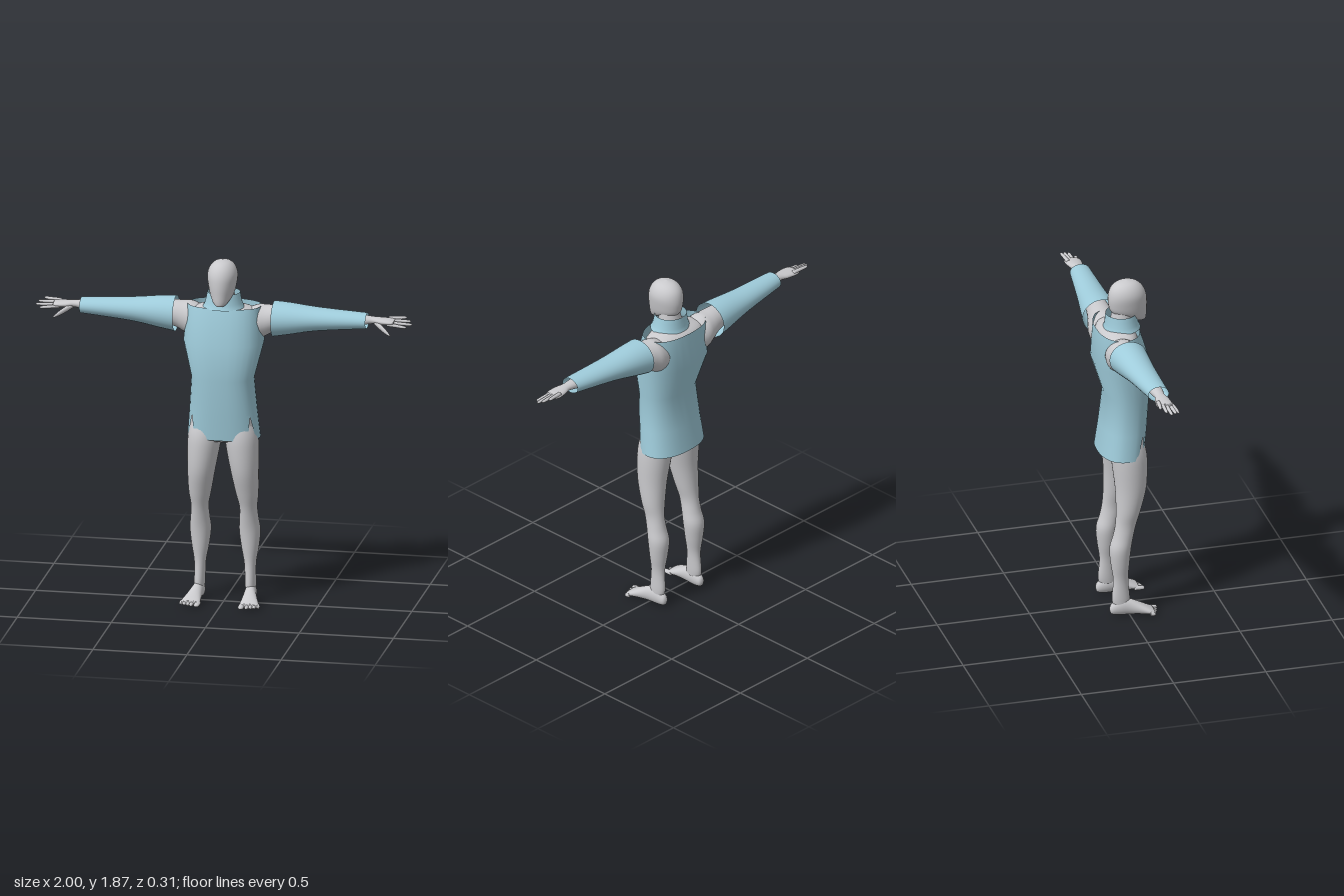
import * as THREE from 'three';

const skin = new THREE.MeshStandardMaterial({ color: 0xcacacd });
skin.name = 'pale grey skin';
const cloth = new THREE.MeshStandardMaterial({ color: 0x9fccdb, side: THREE.DoubleSide });
cloth.name = 'light blue cloth';

// Catmull-Rom subdivision of a list of rings
function refine(rings, steps) {
  const out = [];
  const at = (i) => rings[Math.max(0, Math.min(rings.length - 1, i))];
  for (let i = 0; i < rings.length - 1; i++) {
    const [p, q, r, s] = [at(i - 1), at(i), at(i + 1), at(i + 2)];
    for (let k = 0; k < steps; k++) {
      const t = k / steps;
      out.push(q.map((v, c) => v + 0.5 * t * (r[c] - p[c] +
        t * (2 * p[c] - 5 * v + 4 * r[c] - s[c] + t * (3 * (v - r[c]) + s[c] - p[c])))));
    }
  }
  out.push(rings[rings.length - 1]);
  return out;
}

// Skin through oval rings [t, a, b, ra, rb]; t runs along the axis and
// (t, a, b) are x,y,z / y,z,x / z,x,y. adjust() may move single points.
function loft(axis, rings, { n = 32, steps = 4, power = 1, cap = true, adjust } = {}) {
  const rows = steps > 1 ? refine(rings, steps) : rings;
  const base = 'xyz'.indexOf(axis);
  const pos = [], idx = [];
  const put = (t, a, b) => {
    const p = [0, 0, 0];
    p[base] = t;
    p[(base + 1) % 3] = a;
    p[(base + 2) % 3] = b;
    pos.push(...p);
  };
  const bend = (v) => Math.sign(v) * Math.abs(v) ** power;
  rows.forEach(([t, a, b, ra, rb], i) => {
    for (let j = 0; j < n; j++) {
      const th = (j / n) * Math.PI * 2;
      put(t, a + ra * bend(Math.cos(th)), b + rb * bend(Math.sin(th)));
      if (i > 0) {
        const k = (j + 1) % n, o = (i - 1) * n;
        idx.push(o + j, o + k, o + n + k, o + j, o + n + k, o + n + j);
      }
    }
  });
  if (cap) {
    const c = rows.length * n, last = c - n;
    put(...rows[0].slice(0, 3));
    put(...rows[rows.length - 1].slice(0, 3));
    for (let j = 0; j < n; j++) {
      const k = (j + 1) % n;
      idx.push(c, k, j, c + 1, last + j, last + k);
    }
  }
  if (adjust) adjust(pos, n, rows.length);
  const geo = new THREE.BufferGeometry();
  geo.setAttribute('position', new THREE.Float32BufferAttribute(pos, 3));
  geo.setIndex(idx);
  geo.computeVertexNormals();
  return geo;
}

function mirrored(geo) {
  const g = geo.clone().scale(-1, 1, 1);
  const a = g.index.array;
  for (let i = 0; i < a.length; i += 3) [a[i], a[i + 1]] = [a[i + 1], a[i]];
  g.computeVertexNormals();
  return g;
}

// Raise one hem point on each side of the front to open a slit
function cutSlits(pos, n, rows) {
  for (const j of [5, n - 5]) {
    const low = ((rows - 1) * n + j) * 3, up = ((rows - 2) * n + j) * 3;
    for (let c = 0; c < 3; c++) pos[low + c] += (pos[up + c] - pos[low + c]) * 0.95;
  }
}

export function createModel() {
  const model = new THREE.Group();
  model.name = 'figureInTunic';
  const add = (name, geo, mat = skin) => {
    const m = new THREE.Mesh(geo, mat);
    m.name = name;
    model.add(m);
  };
  const pair = (name, geo, mat) => {
    add('left' + name, geo, mat);
    add('right' + name, mirrored(geo), mat);
  };

  // Head and neck
  add('head', loft('y', [
    [1.632, 0.1, 0, 0.012, 0.01],
    [1.637, 0.098, 0, 0.028, 0.025],
    [1.655, 0.08, 0, 0.051, 0.042],
    [1.69, 0.04, 0, 0.093, 0.062],
    [1.74, 0.031, 0, 0.103, 0.074],
    [1.79, 0.028, 0, 0.1, 0.079],
    [1.83, 0.026, 0, 0.083, 0.067],
    [1.857, 0.026, 0, 0.05, 0.041],
    [1.868, 0.026, 0, 0.002, 0.002],
  ]));
  add('neck', loft('y', [
    [1.56, -0.015, 0, 0.07, 0.085],
    [1.62, -0.005, 0, 0.06, 0.065],
    [1.72, 0.01, 0, 0.058, 0.055],
  ]));

  // Torso under the tunic
  add('torso', loft('y', [
    [0.885, -0.005, 0, 0.08, 0.15],
    [0.92, -0.008, 0, 0.105, 0.176],
    [1.03, 0.002, 0, 0.106, 0.168],
    [1.23, 0.015, 0, 0.1, 0.145],
    [1.42, -0.01, 0, 0.125, 0.185],
    [1.53, -0.025, 0, 0.11, 0.185],
    [1.585, -0.03, 0, 0.09, 0.17],
    [1.615, -0.02, 0, 0.055, 0.09],
  ], { power: 0.88 }));

  // Arms
  pair('Arm', loft('x', [
    [0.1, 1.5, -0.04, 0.08, 0.08],
    [0.17, 1.515, -0.045, 0.095, 0.088],
    [0.22, 1.53, -0.045, 0.082, 0.078],
    [0.29, 1.545, -0.04, 0.066, 0.066],
    [0.5, 1.555, -0.025, 0.045, 0.045],
    [0.72, 1.567, -0.017, 0.028, 0.034],
    [0.79, 1.57, -0.016, 0.019, 0.027],
    [0.83, 1.568, -0.016, 0.018, 0.038],
    [0.88, 1.566, -0.018, 0.016, 0.044],
    [0.905, 1.566, -0.02, 0.011, 0.04],
  ]));

  // Fingers: base y, z then tip x, y, z
  [
    [1.558, 0.012, 0.975, 1.549, 0.02],
    [1.563, -0.008, 1.0, 1.558, -0.008],
    [1.57, -0.028, 0.99, 1.568, -0.033],
    [1.576, -0.047, 0.965, 1.58, -0.058],
  ].forEach(([y, z, tx, ty, tz], i) => {
    pair('Finger' + (i + 1), loft('x', [
      [0.87, y, z, 0.01, 0.011],
      [0.92, (y + ty) / 2, (z + tz) / 2, 0.009, 0.01],
      [tx - 0.01, ty, tz, 0.007, 0.008],
      [tx, ty, tz, 0.001, 0.001],
    ], { n: 10, steps: 3 }));
  });
  pair('Thumb', loft('x', [
    [0.8, 1.562, -0.005, 0.012, 0.015],
    [0.84, 1.543, 0.024, 0.016, 0.015],
    [0.88, 1.52, 0.05, 0.01, 0.01],
    [0.9, 1.508, 0.061, 0.001, 0.001],
  ], { n: 12, steps: 3 }));

  // Legs
  pair('Leg', loft('y', [
    [0.06, -0.04, 0.136, 0.045, 0.027],
    [0.1, -0.043, 0.135, 0.048, 0.029],
    [0.2, -0.043, 0.133, 0.04, 0.031],
    [0.29, -0.046, 0.132, 0.049, 0.046],
    [0.38, -0.045, 0.131, 0.057, 0.056],
    [0.45, -0.029, 0.13, 0.054, 0.05],
    [0.52, -0.014, 0.129, 0.056, 0.047],
    [0.6, 0.001, 0.125, 0.066, 0.06],
    [0.72, 0.016, 0.115, 0.083, 0.073],
    [0.85, 0.014, 0.103, 0.094, 0.086],
    [0.93, 0.008, 0.096, 0.094, 0.086],
    [1.0, 0, 0.09, 0.08, 0.07],
  ]));

  // Feet and toes
  pair('Foot', loft('z', [
    [-0.103, 0.136, 0.035, 0.004, 0.006],
    [-0.093, 0.136, 0.036, 0.02, 0.028],
    [-0.05, 0.137, 0.046, 0.03, 0.046],
    [0, 0.141, 0.044, 0.032, 0.044],
    [0.05, 0.148, 0.033, 0.04, 0.033],
    [0.1, 0.155, 0.02, 0.05, 0.02],
    [0.125, 0.156, 0.014, 0.047, 0.013],
  ]));
  for (let i = 0; i < 5; i++) {
    const x = i ? 0.126 + i * 0.019 : 0.116, r = i ? 0.01 : 0.015, tip = 0.157 - i * 0.007;
    pair('Toe' + (i + 1), loft('z', [
      [0.1, x, 0.013, r, 0.012],
      [tip - 0.01, x + 0.002, 0.011, r, 0.01],
      [tip, x + 0.002, 0.01, 0.002, 0.002],
    ], { n: 10, steps: 3 }));
  }

  // Tunic body with slits at the front of the hem
  add('tunic', loft('y', [
    [1.61, -0.03, 0, 0.11, 0.195],
    [1.42, -0.0075, 0, 0.1475, 0.212],
    [1.23, 0.02, 0, 0.115, 0.165],
    [1.04, 0.0025, 0, 0.118, 0.179],
    [0.9, -0.015, 0, 0.12, 0.192],
  ].map((r) => r), { steps: 1, power: 0.85, cap: false, adjust: cutSlits }), cloth);

  // Standing collar
  add('collar', loft('y', [
    [1.605, 0, 0, 0.097, 0.11],
    [1.63, -0.002, 0, 0.088, 0.098],
    [1.685, -0.005, 0, 0.08, 0.086],
  ], { steps: 2, cap: false }), cloth);

  // Separate wide sleeves, open at both ends
  pair('Sleeve', loft('x', [
    [0.26, 1.542, -0.037, 0.094, 0.102],
    [0.35, 1.548, -0.034, 0.083, 0.092],
    [0.5, 1.556, -0.027, 0.061, 0.076],
    [0.76, 1.565, -0.013, 0.041, 0.055],
  ], { steps: 3, cap: false }), cloth);

  return model;
}
